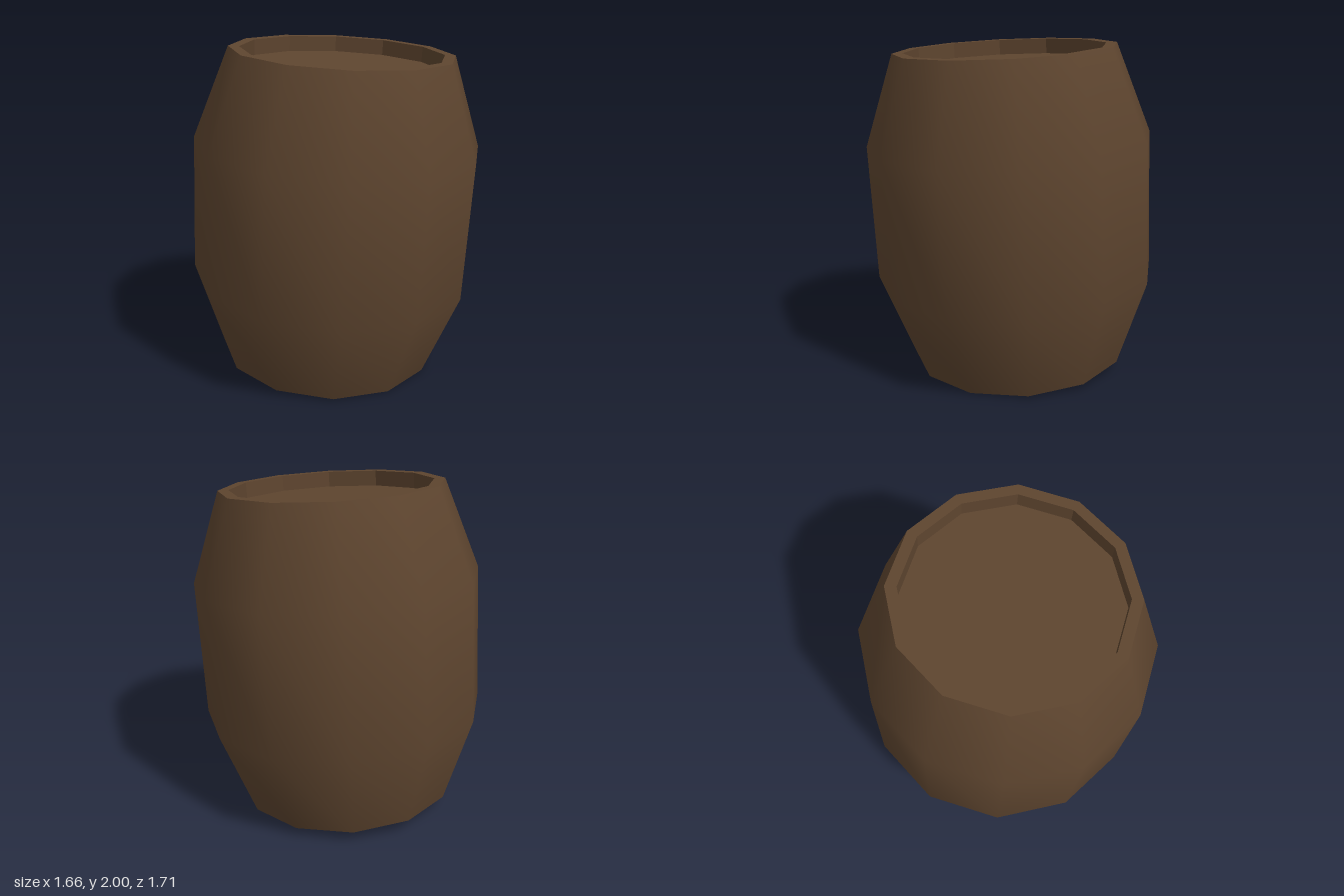
import * as THREE from 'three';

const SIDES = 12;
const START = Math.PI / SIDES; // turns a flat stave towards each axis
const HALF = 0.9575;           // half height along the barrel axis
const RIM = 0.664, INNER = 0.6, DEPTH = 0.094;

export function createModel() {
  const wood = new THREE.MeshStandardMaterial({ color: 0x5e452f });
  wood.name = 'darkWood';

  const add = (parent, name, geometry) => {
    const mesh = new THREE.Mesh(geometry, wood);
    mesh.name = name;
    parent.add(mesh);
    return mesh;
  };
  const lathe = (points) => new THREE.LatheGeometry(
    points.map(([r, y]) => new THREE.Vector2(r, y)), SIDES, START);

  const barrel = new THREE.Group();
  barrel.name = 'barrel';

  // Smooth bulging side
  add(barrel, 'staves', lathe([[RIM, -HALF], [0.859, -0.4155], [0.859, 0.4155], [RIM, HALF]]));

  // Each end: flat rim, faceted inner wall and recessed lid
  for (const [name, turn] of [['top', 0], ['bottom', Math.PI]]) {
    const end = new THREE.Group();
    end.name = name + 'End';

    const rim = new THREE.RingGeometry(INNER, RIM, SIDES, 1, START);
    add(end, name + 'Rim', rim.rotateX(-Math.PI / 2).translate(0, HALF, 0));

    const wall = lathe([[INNER, HALF], [INNER, HALF - DEPTH]]).toNonIndexed();
    wall.computeVertexNormals();
    add(end, name + 'InnerWall', wall);

    const lid = new THREE.CircleGeometry(INNER, SIDES, START);
    add(end, name + 'Lid', lid.rotateX(-Math.PI / 2).translate(0, HALF - DEPTH, 0));

    end.rotation.x = turn;
    barrel.add(end);
  }

  // The barrel leans slightly forward
  barrel.rotation.x = THREE.MathUtils.degToRad(4);
  barrel.position.y = 1;

  const model = new THREE.Group();
  model.name = 'leaningBarrel';
  model.add(barrel);
  return model;
}
